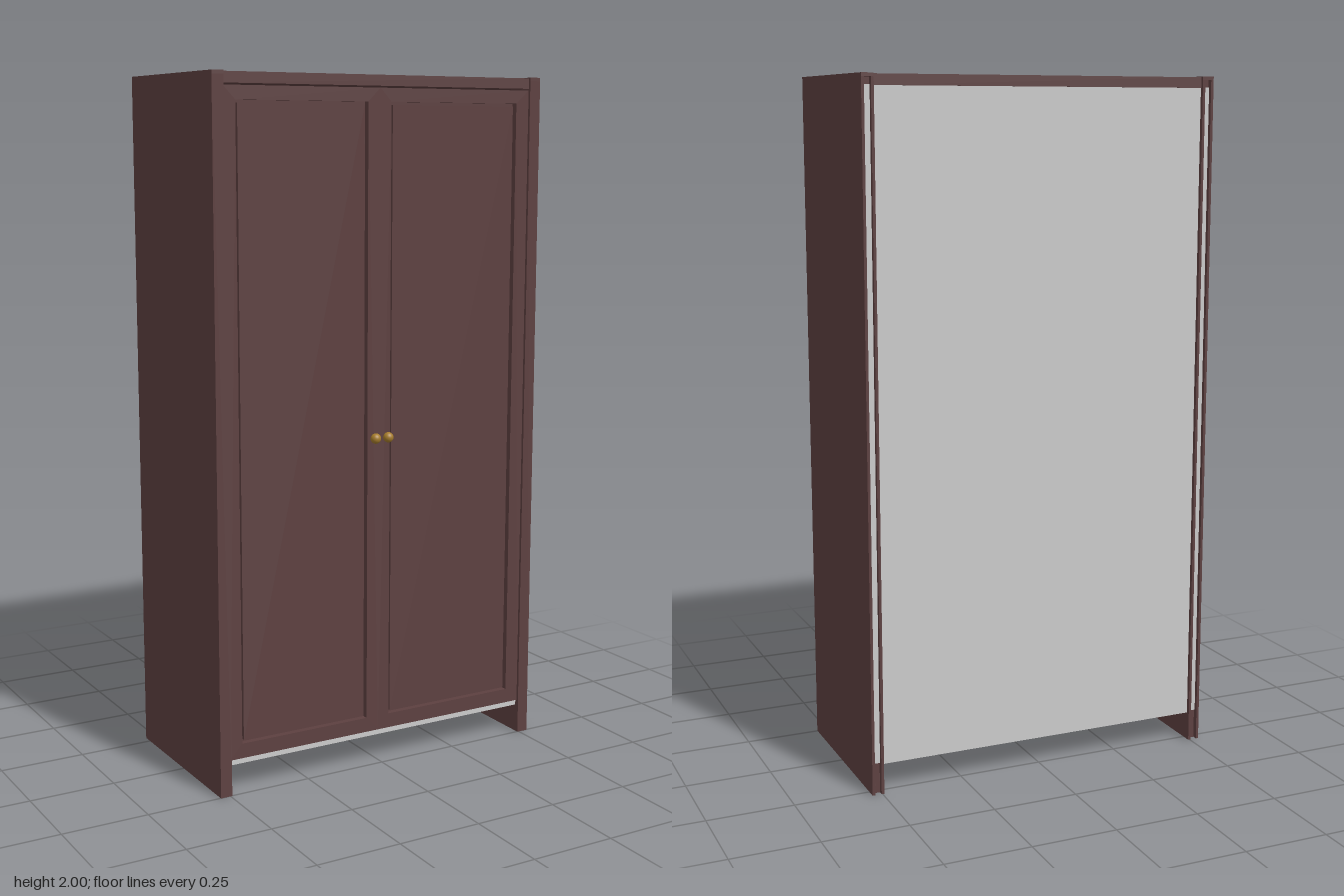
import * as THREE from 'three';

const wood = new THREE.MeshStandardMaterial({ color: 0x5d4040 });
const brass = new THREE.MeshStandardMaterial({ color: 0xa57c2c });
const grey = new THREE.MeshStandardMaterial({ color: 0xcccccc });

// Box given by its minimum and maximum corners
function box(name, [x0, y0, z0], [x1, y1, z1], material = wood) {
  const mesh = new THREE.Mesh(new THREE.BoxGeometry(x1 - x0, y1 - y0, z1 - z0), material);
  mesh.position.set((x0 + x1) / 2, (y0 + y1) / 2, (z0 + z1) / 2);
  mesh.name = name;
  return mesh;
}

function rect(path, x0, y0, x1, y1) {
  path.moveTo(x0, y0);
  path.lineTo(x1, y0);
  path.lineTo(x1, y1);
  path.lineTo(x0, y1);
  path.closePath();
  return path;
}

// Side panel with a shallow channel along its back edge
function sidePanel(sign) {
  const shape = new THREE.Shape();
  [[0.495, -0.252], [0.53, -0.252], [0.53, 0.279], [0.522, 0.279],
    [0.522, 0.264], [0.503, 0.264], [0.503, 0.279], [0.495, 0.279]]
    .forEach(([x, y], i) => (i ? shape.lineTo(sign * x, y) : shape.moveTo(sign * x, y)));
  const geometry = new THREE.ExtrudeGeometry(shape, { depth: 1.99, bevelEnabled: false });
  geometry.rotateX(-Math.PI / 2);
  const group = new THREE.Group();
  group.name = sign > 0 ? 'leftSide' : 'rightSide';
  const body = new THREE.Mesh(geometry, wood);
  body.name = 'sideBody';
  const xs = [sign * 0.495, sign * 0.53].sort((a, b) => a - b);
  group.add(body, box('sideCap', [xs[0], 1.99, -0.279], [xs[1], 2, 0.252]));
  // Back sheet showing inside the channel
  const cs = [sign * 0.503, sign * 0.522].sort((a, b) => a - b);
  group.add(box('backSheetEdge', [cs[0], 0.09, -0.268], [cs[1], 1.97, -0.262], grey));
  return group;
}

// Door frame with a grooved, slightly sunken panel and a round knob
function door(name, x0, x1, panelX0, panelX1, knobX) {
  const group = new THREE.Group();
  group.name = name;
  const y0 = 0.145, y1 = 1.925, groove = 0.008;
  const shape = rect(new THREE.Shape(), x0, 0.102, x1, 1.963);
  shape.holes.push(rect(new THREE.Path(), panelX0, y0, panelX1, y1));
  const frame = new THREE.Mesh(
    new THREE.ExtrudeGeometry(shape, { depth: 0.02, bevelEnabled: false }), wood);
  frame.position.z = 0.224;
  frame.name = 'doorFrame';
  group.add(frame);
  group.add(box('doorBacking', [x0, 0.102, 0.215], [x1, 1.963, 0.226]));
  group.add(box('doorPanel', [panelX0 + groove, y0 + groove, 0.22],
    [panelX1 - groove, y1 - groove, 0.238]));
  const knob = new THREE.Mesh(new THREE.SphereGeometry(0.015, 24, 16), brass);
  knob.position.set(knobX, 0.982, 0.259);
  knob.name = 'knob';
  group.add(knob);
  return group;
}

export function createModel() {
  const model = new THREE.Group();
  model.name = 'wardrobe';

  // Carcass
  model.add(sidePanel(1), sidePanel(-1));
  model.add(box('topPanel', [-0.495, 1.968, -0.271], [0.495, 1.998, 0.245]));
  model.add(box('bottomPanel', [-0.495, 0.085, -0.265], [0.495, 0.1, 0.238], grey));
  model.add(box('backPanel', [-0.495, 0.085, -0.268], [0.495, 1.968, -0.26], grey));

  // Doors
  model.add(door('rightDoor', -0.495, -0.011, -0.458, -0.05, -0.031));
  model.add(door('leftDoor', -0.011, 0.495, 0.025, 0.452, 0.011));
  return model;
}
